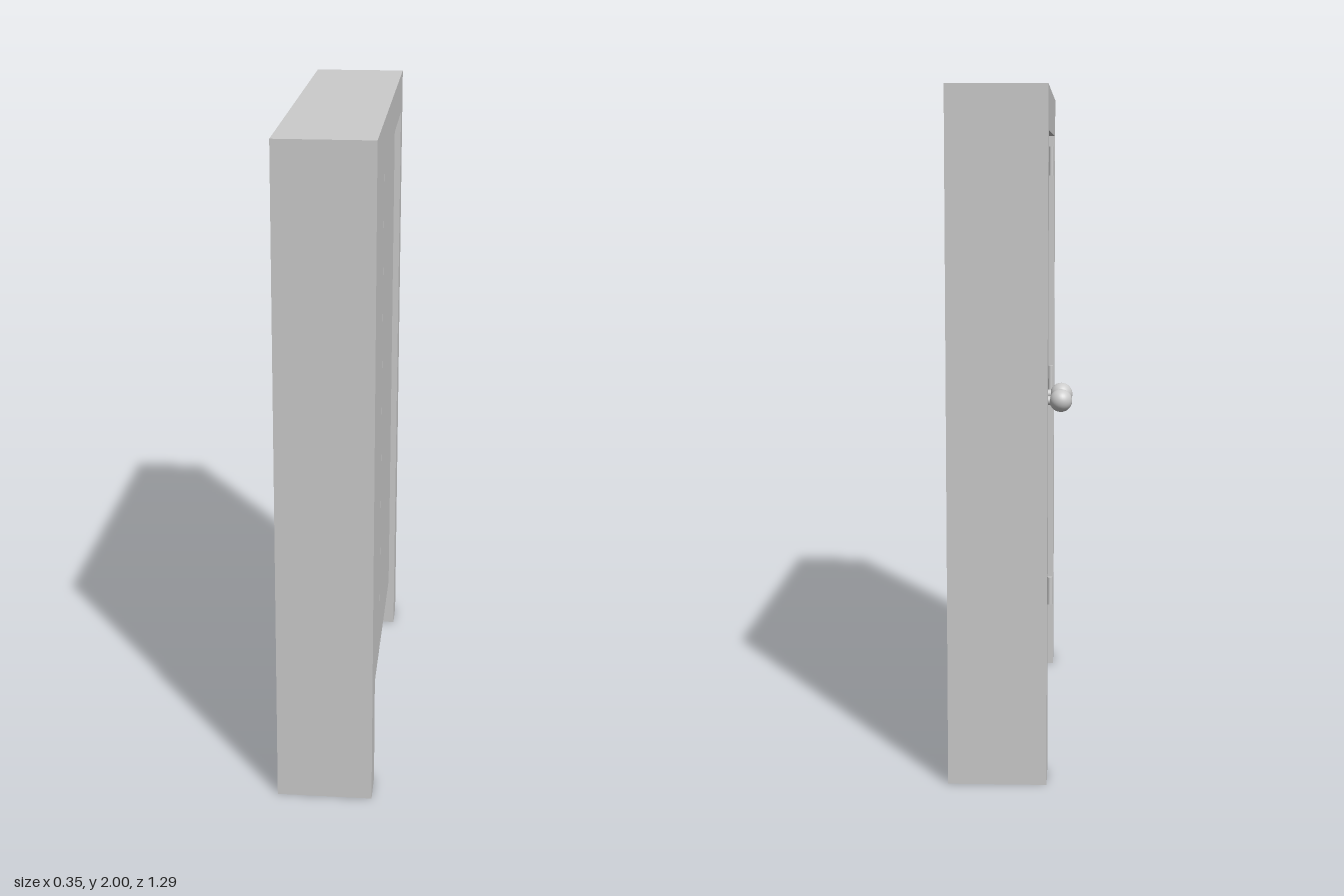
import * as THREE from 'three';

const BACK = -0.11, FRONT = 0.176;      // frame faces along x
const DOOR_BACK = -0.09, DOOR_FRONT = 0.156;
const TOP = 1.875, BOTTOM = 0.165;      // door leaf heights

// half width of the opening, which narrows towards the floor
const jamb = (y) => 0.53 + 0.032 * (y / TOP);

export function createModel() {
  const model = new THREE.Group();
  const material = new THREE.MeshStandardMaterial({ color: 0xcccccc });

  const add = (name, geometry, x = 0, y = 0, z = 0) => {
    const mesh = new THREE.Mesh(geometry, material);
    mesh.name = name;
    mesh.position.set(x, y, z);
    model.add(mesh);
    return mesh;
  };

  // extrude a (z, y) outline between two x planes
  const slab = (points, x0, x1) => {
    const shape = new THREE.Shape(points.map(([z, y]) => new THREE.Vector2(-z, y)));
    return new THREE.ExtrudeGeometry(shape, { depth: x1 - x0, bevelEnabled: false })
      .rotateY(Math.PI / 2)
      .translate(x0, 0, 0);
  };

  // surrounding frame, open at the floor
  const w = 0.643;
  add('doorFrame', slab([
    [-w, 0], [-w, 2], [w, 2], [w, 0],
    [jamb(0), 0], [jamb(TOP), TOP], [-jamb(TOP), TOP], [-jamb(0), 0],
  ], BACK, FRONT));

  for (const s of [-1, 1]) {
    const side = s < 0 ? 'Rear' : 'Front';

    // door leaf with a hairline gap in the middle
    add('doorLeaf' + side, slab([
      [s * 0.002, BOTTOM], [s * jamb(BOTTOM), BOTTOM],
      [s * jamb(TOP), TOP], [s * 0.002, TOP],
    ], DOOR_BACK, DOOR_FRONT));

    // round knob on a short stem
    add('knob' + side, new THREE.SphereGeometry(0.036, 32, 20), -0.141, 1.045, s * 0.075);
    add('knobStem' + side, new THREE.CylinderGeometry(0.014, 0.014, 0.05, 16).rotateZ(Math.PI / 2),
      -0.105, 1.045, s * 0.075);

    // three hinges tucked into the recess
    for (const y of [0.27, 1.03, 1.79]) {
      add('hinge' + side, new THREE.CylinderGeometry(0.009, 0.009, 0.1, 12),
        -0.098, y, s * (jamb(y) - 0.007));
    }
  }
  return model;
}
